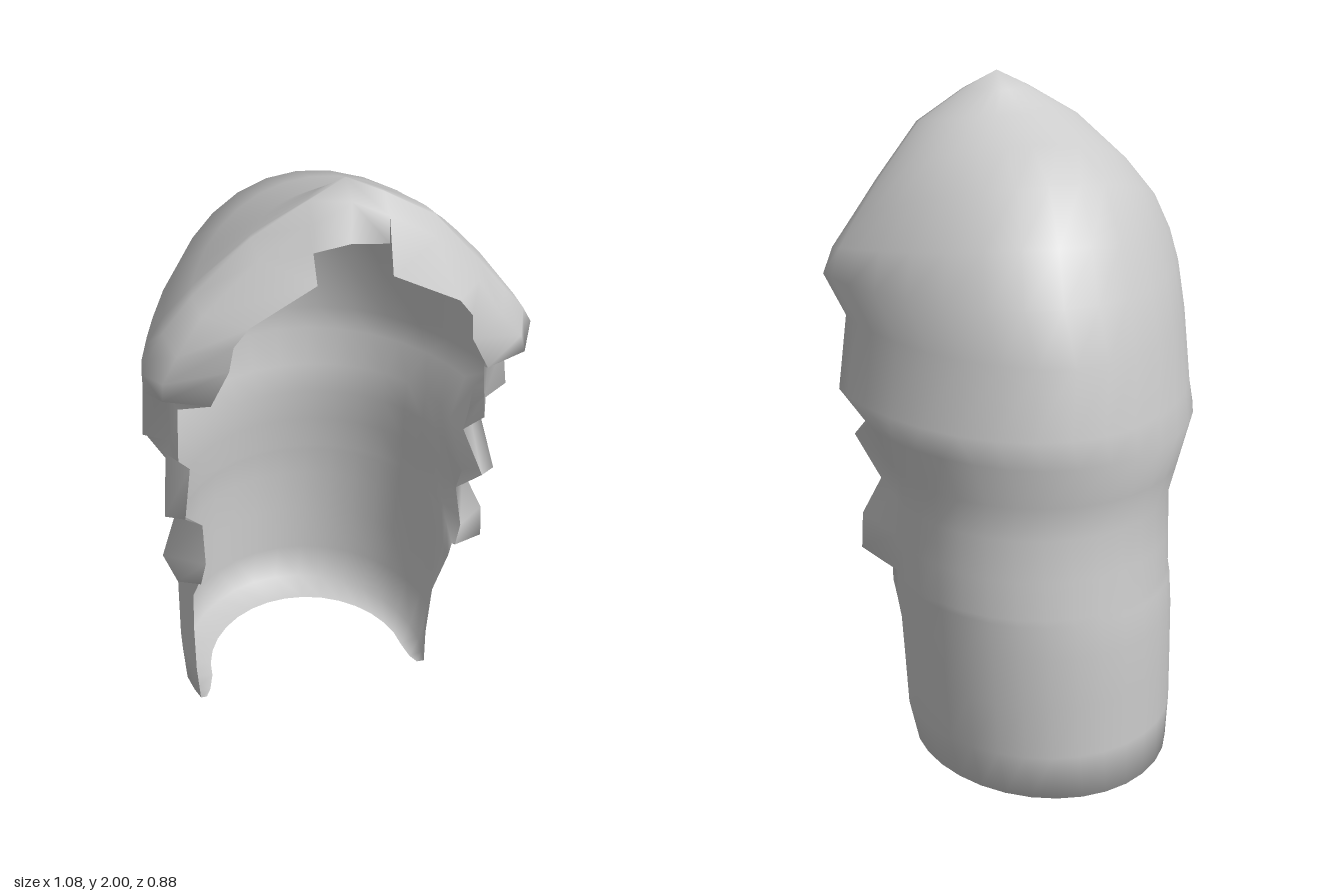
import * as THREE from 'three';

// Hood rows, peak downwards: extra width on the right, back [y, z],
// then outer rim, front lip and fringe edge [x, y, z] of the left side
const HOOD = [
  [0, [2.0, 0.32], [0, 2.0, 0.32], [0, 1.97, 0.395], [0, 1.84, 0.385]],
  [0, [1.95, 0.26], [0.1, 1.95, 0.33], [0.1, 1.91, 0.385], [0.1, 1.83, 0.39]],
  [0.01, [1.89, 0.18], [0.24, 1.86, 0.33], [0.23, 1.82, 0.375], [0.1, 1.76, 0.435]],
  [0.04, [1.83, 0.02], [0.365, 1.7, 0.32], [0.35, 1.67, 0.375], [0.28, 1.66, 0.44]],
  [0.04, [1.75, -0.15], [0.445, 1.59, 0.31], [0.42, 1.55, 0.37], [0.32, 1.6, 0.43]],
  [0.02, [1.6, -0.27], [0.505, 1.51, 0.3], [0.48, 1.47, 0.37], [0.33, 1.51, 0.41]],
  [0, [1.45, -0.35], [0.54, 1.44, 0.27], [0.5, 1.4, 0.35], [0.38, 1.4, 0.4]],
];

// Length rows: back y, back z, then x right, x left and z of the wall, the side lock and the front edge
const LENGTH = [
  [1.30, -0.4, 0.53, 0.49, 0.2, 0.47, 0.45, 0.2, 0.46, 0.39, 0.34],
  [1.10, -0.432, 0.53, 0.53, 0.13, 0.46, 0.45, 0.19, 0.46, 0.41, 0.31],
  [1.02, -0.438, 0.51, 0.47, 0.02, 0.47, 0.42, 0.14, 0.42, 0.37, 0.25],
  [0.90, -0.41, 0.45, 0.41, 0, 0.5, 0.46, 0.27, 0.45, 0.41, 0.32],
  [0.80, -0.402, 0.42, 0.4, 0, 0.45, 0.41, 0.14, 0.39, 0.36, 0.24],
  [0.68, -0.418, 0.42, 0.4, 0, 0.5, 0.46, 0.18, 0.39, 0.37, 0.27],
  [0.57, -0.425, 0.42, 0.4, 0, 0.46, 0.465, 0.18, 0.4, 0.37, 0.23],
  [0.55, -0.43, 0.425, 0.395, 0, 0.42, 0.39, 0.07, 0.4, 0.37, 0.2],
  [0.45, -0.435, 0.43, 0.39, 0, 0.425, 0.385, 0.07, 0.41, 0.38, 0.14],
  [0.3, -0.435, 0.43, 0.38, 0, 0.42, 0.36, 0.06, 0.41, 0.34, 0.12],
  [0.14, -0.43, 0.43, 0.37, 0, 0.42, 0.34, 0.06, 0.41, 0.32, 0.135],
  [0.01, -0.43, 0.42, 0.34, 0, 0.41, 0.33, 0.07, 0.4, 0.32, 0.13],
  [0, -0.33, 0.34, 0.28, 0, 0.36, 0.29, 0.07, 0.38, 0.3, 0.12],
];

const ARC_STEPS = 16;
const mix = THREE.MathUtils.lerp;

// One cross-section: left edge, curve round the back, right edge; a higher pinch narrows the back
function section([backY, backZ], left, right, pinch) {
  const [lo, le, li] = left, [ro, re, ri] = right;
  const midX = (lo[0] + ro[0]) / 2, half = (lo[0] - ro[0]) / 2;
  const points = [li, le];
  for (let i = 0; i <= ARC_STEPS; i++) {
    const a = Math.PI * i / ARC_STEPS;
    const back = Math.max(0, Math.sin(a)) ** pinch;
    const side = (1 - Math.cos(a)) / 2;
    points.push([
      midX + half * Math.cos(a),
      mix(mix(lo[1], ro[1], side), backY, back),
      mix(lo[2], backZ, back),
    ]);
  }
  points.push(re, ri);
  return points;
}

function hoodRow([extra, back, ...left]) {
  const right = left.map(([x, y, z]) => [-x - extra, y, z]);
  right[2][0] += extra;
  return section(back, left, right, 1.4);
}

// Length rows rise slightly towards the front
function lengthRow([y, backZ, wallR, wallL, wallZ, lockR, lockL, lockZ, edgeR, edgeL, edgeZ]) {
  const left = [[wallL, y + 0.03, wallZ], [lockL, y + 0.04, lockZ], [edgeL, y + 0.06, edgeZ]];
  const right = [[-wallR, y + 0.03, wallZ], [-lockR, y + 0.04, lockZ], [-edgeR, y + 0.06, edgeZ]];
  return section([y, backZ], left, right, y > 0.95 ? 1.3 : 1.05);
}

// Skins neighbouring rows into one smooth open shell
function loft(rows) {
  const n = rows[0].length, index = [];
  for (let r = 0; r < rows.length - 1; r++) {
    for (let c = 0; c < n - 1; c++) {
      const a = r * n + c, b = a + n;
      index.push(a, b, a + 1, b, b + 1, a + 1);
    }
  }
  const geometry = new THREE.BufferGeometry();
  geometry.setAttribute('position', new THREE.Float32BufferAttribute(rows.flat(2), 3));
  geometry.setIndex(index);
  geometry.computeVertexNormals();
  // The peak row collapses to the centre line, so give it upright normals there
  const normal = geometry.attributes.normal;
  for (let c = 0; c < n; c++) {
    const onLip = c < 2 || c > n - 3;
    const v = onLip ? new THREE.Vector3(0, 0.5, 1) : new THREE.Vector3(0, 1, -0.2);
    v.normalize();
    normal.setXYZ(c, v.x, v.y, v.z);
  }
  return geometry;
}

export function createModel() {
  const hairGrey = new THREE.MeshStandardMaterial({ color: 0xcccccc, side: THREE.DoubleSide });
  hairGrey.name = 'hairGrey';

  // Hood, fringe lip, side locks and long back in one continuous shell
  const hair = new THREE.Mesh(loft([...HOOD.map(hoodRow), ...LENGTH.map(lengthRow)]), hairGrey);
  hair.name = 'hairShell';

  const model = new THREE.Group();
  model.name = 'longHair';
  model.add(hair);
  return model;
}
